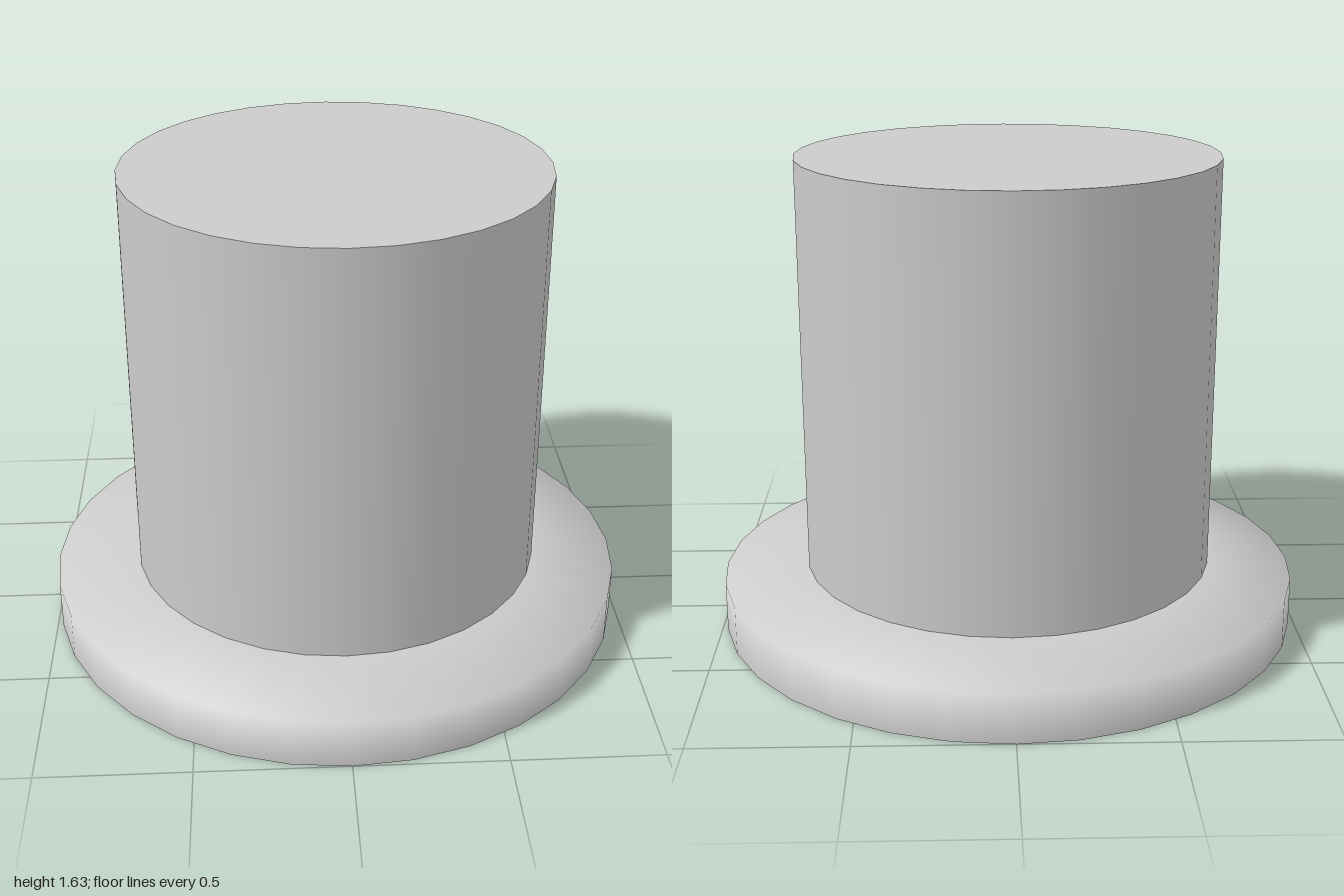
import * as THREE from 'three';

const SIDES = 32;
const CROWN_RADIUS = 0.71;
const CROWN_BASE = 0.21;
const CROWN_TOP = 1.63;

export function createModel() {
  const group = new THREE.Group();
  const material = new THREE.MeshStandardMaterial({ color: 0xcccccc });
  const add = (name, geometry, y = 0) => {
    const mesh = new THREE.Mesh(geometry, material);
    mesh.name = name;
    mesh.position.y = y;
    group.add(mesh);
    return mesh;
  };

  // Brim: upright rim, then a shallow slope up to the crown, smoothly shaded
  const profile = [[1, 0], [1, 0.17], [CROWN_RADIUS, CROWN_BASE]];
  add('brim', new THREE.LatheGeometry(profile.map(([r, y]) => new THREE.Vector2(r, y)), SIDES));

  // Flat underside closing the brim
  add('underside', new THREE.CircleGeometry(1, SIDES)).rotation.x = Math.PI / 2;

  // Crown: open tube with a flat lid
  const height = CROWN_TOP - CROWN_BASE;
  add('crown', new THREE.CylinderGeometry(CROWN_RADIUS, CROWN_RADIUS, height, SIDES, 1, true), CROWN_BASE + height / 2);
  add('crownTop', new THREE.CircleGeometry(CROWN_RADIUS, SIDES), CROWN_TOP).rotation.x = -Math.PI / 2;

  return group;
}
